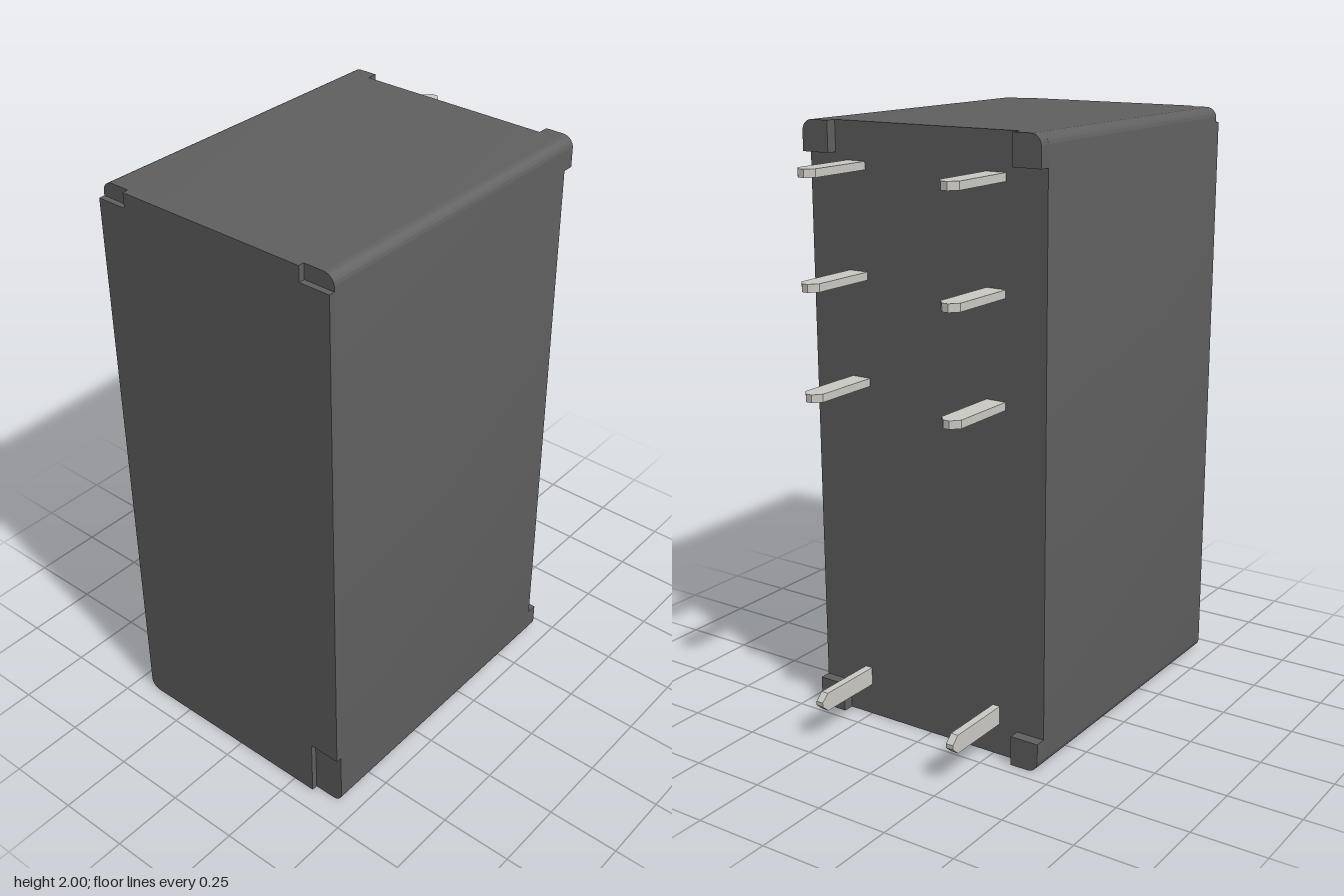
import * as THREE from 'three';
import { toCreasedNormals } from 'three/addons/utils/BufferGeometryUtils.js';

const W = 0.44, H = 2, R = 0.037;          // half width, height, corner radius
const FRONT = 0.68, RECESS = 0.66, BACK = -0.42, TAB_BACK = -0.457;

const plastic = new THREE.MeshStandardMaterial({ color: 0x606060 });
const metal = new THREE.MeshStandardMaterial({ color: 0xcbcac4 });

// Extrude an outline from z0 to z1, keeping the hard edges sharp
function slab(name, shape, z0, z1, material = plastic) {
  const geometry = new THREE.ExtrudeGeometry(shape, { depth: z1 - z0, bevelEnabled: false, curveSegments: 8 });
  geometry.translate(0, 0, z0);
  const mesh = new THREE.Mesh(toCreasedNormals(geometry, 0.6), material);
  mesh.name = name;
  return mesh;
}

// Rounded rectangle of the whole case
function caseOutline() {
  const s = new THREE.Shape();
  s.absarc(W - R, R, R, -Math.PI / 2, 0);
  s.absarc(W - R, H - R, R, 0, Math.PI / 2);
  s.absarc(-W + R, H - R, R, Math.PI / 2, Math.PI);
  s.absarc(-W + R, R, R, Math.PI, Math.PI * 1.5);
  s.closePath();
  return s;
}

// Front face with small cut-outs at the top corners and a tall one at the bottom left
function frontOutline() {
  const s = new THREE.Shape();
  s.moveTo(-W + R, 0);
  [[0.33, 0], [0.33, 0.21], [W, 0.21], [W, 1.95], [0.335, 1.95], [0.335, H],
    [-0.335, H], [-0.335, 1.95], [-W, 1.95], [-W, R]].forEach(([x, y]) => s.lineTo(x, y));
  s.absarc(-W + R, R, R, Math.PI, Math.PI * 1.5);
  return s;
}

// Square stand-off at one corner, rounded on the outside
function tabOutline(sx, top) {
  const size = 0.1;
  const y = d => (top ? H - d : d);
  const s = new THREE.Shape();
  s.moveTo(sx * (W - size), y(0));
  s.lineTo(sx * (W - R), y(0));
  for (let i = 1; i <= 8; i++) {
    const a = (i / 8) * Math.PI / 2;
    s.lineTo(sx * (W - R + R * Math.sin(a)), y(R - R * Math.cos(a)));
  }
  s.lineTo(sx * W, y(size));
  s.lineTo(sx * (W - size), y(size));
  s.closePath();
  return s;
}

// Flat blade pin with a tapered tip, pointing to -z
function pinGeometry(width, thickness, tip) {
  const h = width / 2, length = 0.26, taper = 0.027;
  const s = new THREE.Shape();
  s.moveTo(-h, 0);
  s.lineTo(h, 0);
  s.lineTo(h, length - taper);
  s.lineTo(tip, length);
  s.lineTo(-tip, length);
  s.lineTo(-h, length - taper);
  s.closePath();
  const g = new THREE.ExtrudeGeometry(s, { depth: thickness, bevelEnabled: false });
  g.translate(0, 0, -thickness / 2);
  g.rotateX(-Math.PI / 2);
  return g;
}

export function createModel() {
  const model = new THREE.Group();
  model.name = 'relay';

  // Case
  model.add(slab('caseBody', caseOutline(), BACK, RECESS));
  model.add(slab('caseFront', frontOutline(), RECESS, FRONT));

  // Corner stand-offs on the back
  for (const sx of [-1, 1])
    for (const top of [false, true])
      model.add(slab('standOff', tabOutline(sx, top), TAB_BACK, BACK));

  // Pins: three flat pairs above, one upright pair below
  const pin = pinGeometry(0.07, 0.026, 0.011);
  const coilPin = pinGeometry(0.062, 0.026, 0.007).rotateZ(Math.PI / 2);
  const addPin = (name, geometry, x, y) => {
    const mesh = new THREE.Mesh(geometry, metal);
    mesh.name = name;
    mesh.position.set(x, y, BACK);
    model.add(mesh);
  };
  for (const x of [-0.26, 0.26]) {
    for (const y of [1.865, 1.52, 1.175]) addPin('contactPin', pin, x, y);
    addPin('coilPin', coilPin, x, 0.14);
  }
  return model;
}
